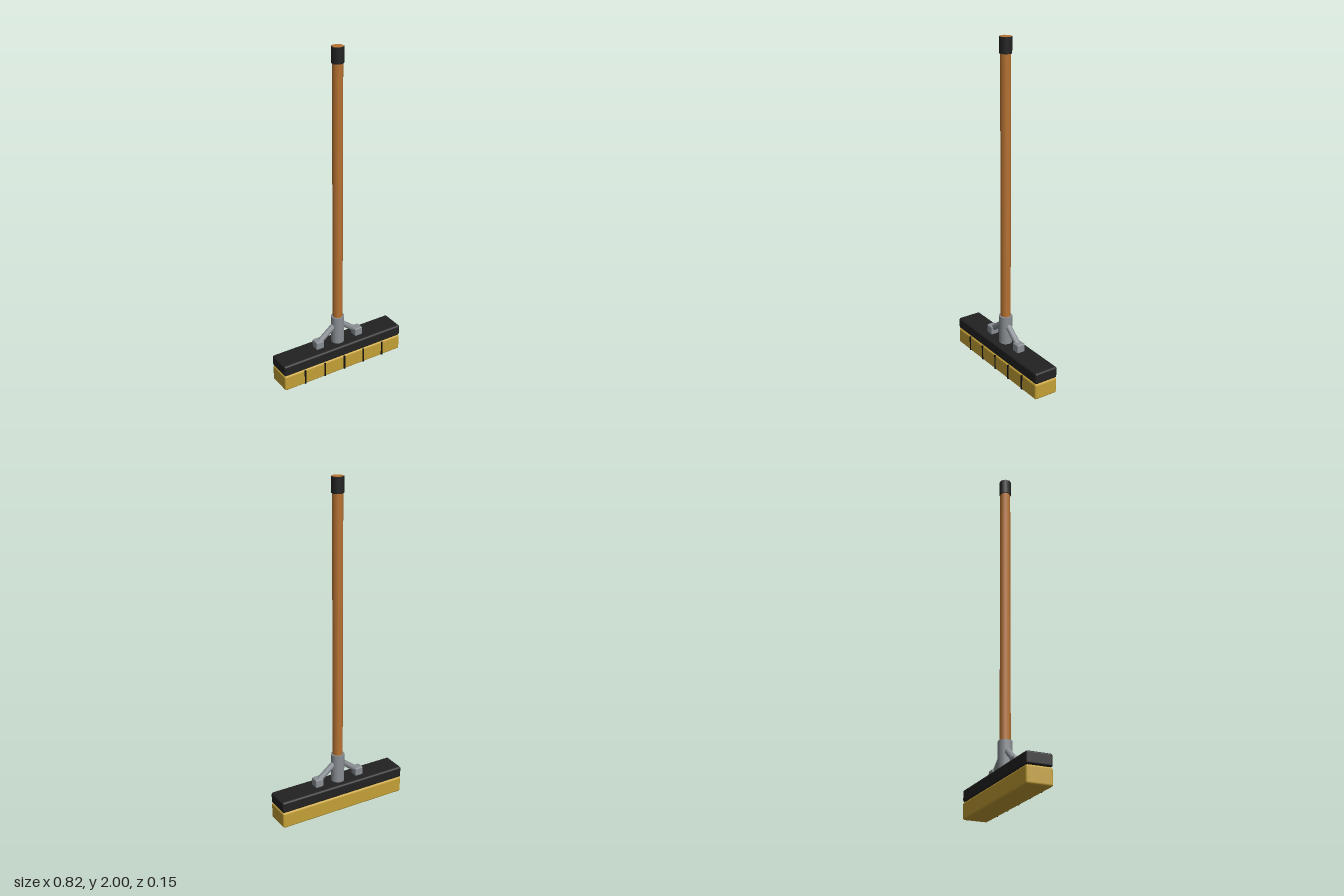
import * as THREE from 'three';
import { RoundedBoxGeometry } from 'three/addons/geometries/RoundedBoxGeometry.js';

const material = (name, color) => {
  const m = new THREE.MeshStandardMaterial({ color });
  m.name = name;
  return m;
};

export function createModel() {
  const wood = material('wood', 0xb87333);
  const black = material('black plastic', 0x222222);
  const strap = material('dark strap', 0x111111);
  const metal = material('grey metal', 0x8a8f94);
  const bristle = material('straw bristle', 0xc4a035);

  const broom = new THREE.Group();
  broom.name = 'pushBroom';
  const body = new THREE.Group();
  body.name = 'body';
  body.position.z = -0.0025;
  broom.add(body);

  const add = (name, geometry, mat, x = 0, y = 0, z = 0) => {
    const mesh = new THREE.Mesh(geometry, mat);
    mesh.name = name;
    mesh.position.set(x, y, z);
    body.add(mesh);
    return mesh;
  };

  // Eight-sided prism with flat sides facing the axes
  const octagon = (flat, height) =>
    new THREE.CylinderGeometry(flat / Math.cos(Math.PI / 8), flat / Math.cos(Math.PI / 8), height, 8)
      .rotateY(Math.PI / 8);

  // Head: bristle block below, black block above
  add('bristles', new RoundedBoxGeometry(0.822, 0.1, 0.15, 2, 0.012), bristle, 0, 0.05);
  add('headBlock', new RoundedBoxGeometry(0.824, 0.07, 0.15, 2, 0.012), black, 0, 0.135);

  // Thin dividers along the front of the bristles
  for (let i = -2; i <= 2; i++) {
    add('bristleDivider', new THREE.BoxGeometry(0.009, 0.092, 0.008), strap, i * 0.1375, 0.051, 0.0755);
  }

  // Handle, end cap and the wood showing at the top
  add('handle', octagon(0.028, 1.7), wood, 0, 1.14);
  add('endCap', octagon(0.033, 0.09), black, 0, 1.954);
  add('handleTip', octagon(0.031, 0.004), wood, 0, 1.998);

  // Socket holding the handle
  add('socket', new THREE.CylinderGeometry(0.04, 0.04, 0.18, 16), metal, 0, 0.255);

  // Braces and their feet on both sides
  for (const side of [-1, 1]) {
    const from = new THREE.Vector3(side * 0.02, 0.29, 0);
    const to = new THREE.Vector3(side * 0.132, 0.202, 0);
    const dir = to.clone().sub(from);
    const brace = add('brace', new THREE.CylinderGeometry(0.018, 0.018, dir.length(), 12), metal);
    brace.position.copy(from).lerp(to, 0.5);
    brace.quaternion.setFromUnitVectors(new THREE.Vector3(0, 1, 0), dir.normalize());
    add('braceFoot', new RoundedBoxGeometry(0.053, 0.054, 0.053, 2, 0.008), metal, side * 0.1375, 0.194);
  }
  return broom;
}
